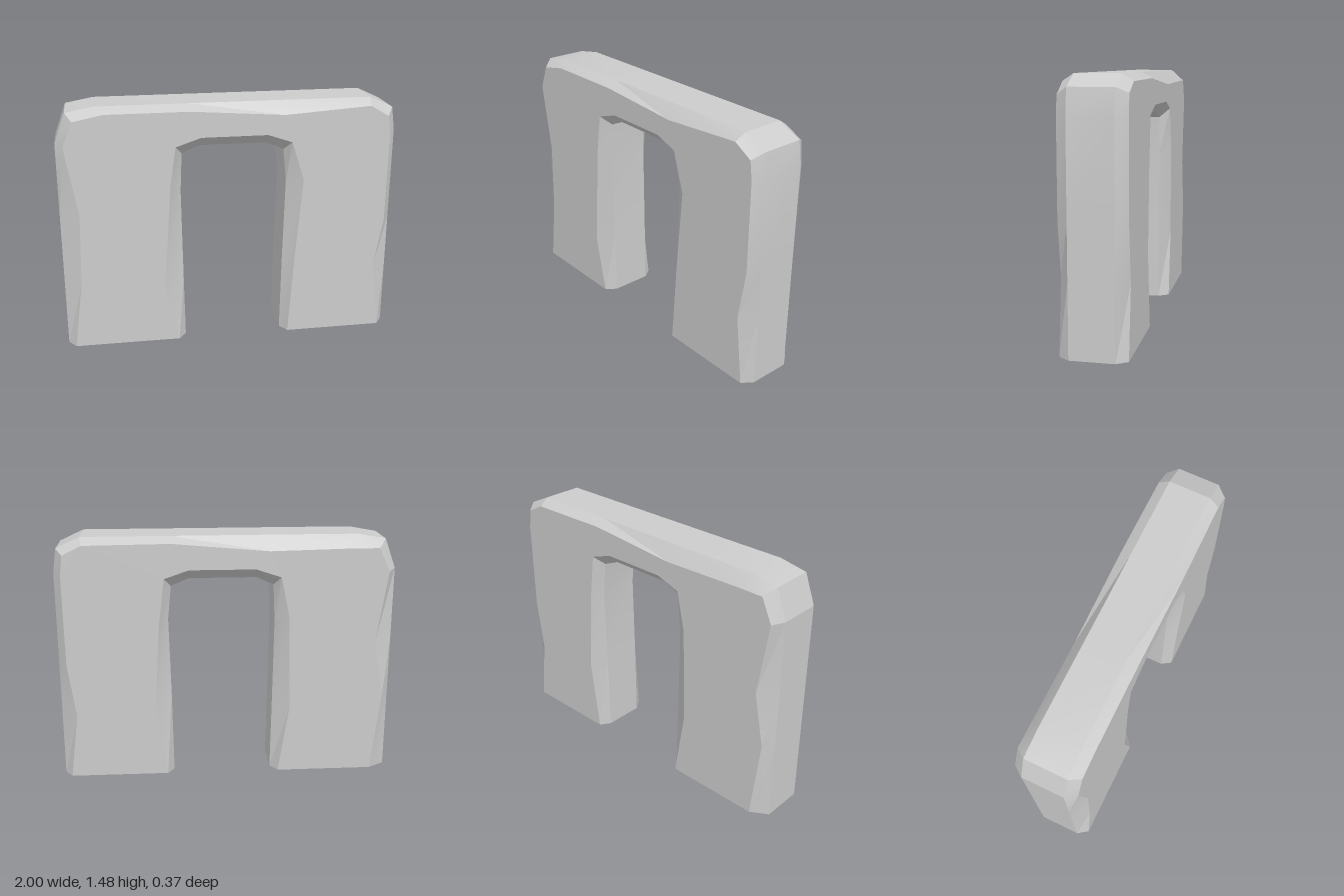
import * as THREE from 'three';
import { toCreasedNormals } from 'three/addons/utils/BufferGeometryUtils.js';

const FACE_Z = 0.187, RIM_Z = 0.125;

// Each row: rim x, y | front face x, y | back face x, y
const outer = [
  [-1, 0, -0.955, 0, -0.9, 0],
  [-1, 0.42, -0.9, 0.41, -0.955, 0.5],
  [-1, 0.85, -0.885, 0.85, -0.89, 0.82],
  [-1, 1.27, -0.955, 1.26, -0.955, 1.26],
  [-0.935, 1.445, -0.895, 1.405, -0.89, 1.4],
  [-0.77, 1.475, -0.72, 1.44, -0.72, 1.4],
  [-0.23, 1.475, -0.23, 1.44, -0.25, 1.39],
  [0.32, 1.475, 0.32, 1.4, 0.32, 1.44],
  [0.84, 1.475, 0.83, 1.435, 0.83, 1.435],
  [0.98, 1.41, 0.94, 1.37, 0.94, 1.38],
  [1, 1.27, 0.955, 1.26, 0.955, 1.26],
  [1, 0.72, 0.955, 0.72, 0.95, 0.72],
  [1, 0.42, 0.905, 0.42, 0.905, 0.4],
  [1, 0, 0.955, 0, 0.955, 0],
];
const opening = [
  [0.325, 0, 0.365, 0, 0.365, 0],
  [0.333, 0.5, 0.4, 0.52, 0.43, 0.45],
  [0.345, 0.98, 0.44, 1, 0.4, 0.95],
  [0.325, 1.18, 0.365, 1.235, 0.365, 1.235],
  [0.22, 1.225, 0.22, 1.285, 0.22, 1.285],
  [-0.18, 1.225, -0.17, 1.285, -0.17, 1.285],
  [-0.28, 1.18, -0.32, 1.235, -0.32, 1.235],
  [-0.29, 0.95, -0.355, 1, -0.37, 1],
  [-0.282, 0.4, -0.4, 0.36, -0.385, 0.42],
  [-0.275, 0, -0.32, 0, -0.32, 0],
];

function buildArch() {
  const rows = [...outer, ...opening], n = rows.length;
  // Four matching outlines from front to back
  const ring = (col, z) => rows.map((r) => new THREE.Vector3(r[col], r[col + 1], z));
  const rings = [ring(2, FACE_Z), ring(0, RIM_Z), ring(0, -RIM_Z), ring(4, -FACE_Z)];
  const positions = [];
  const tri = (...pts) => pts.forEach((p) => positions.push(p.x, p.y, p.z));

  // Bevels, edge bands and undersides of the legs
  for (let k = 0; k < 3; k++) {
    for (let i = 0; i < n; i++) {
      const j = (i + 1) % n, a = rings[k], b = rings[k + 1];
      tri(a[i], a[j], b[i]);
      tri(a[j], b[j], b[i]);
    }
  }

  // Flat front and back faces, wound to face outwards
  for (const [pts, dir] of [[rings[0], 1], [rings[3], -1]]) {
    const flat = pts.map((p) => new THREE.Vector2(p.x, p.y));
    for (const [a, b, c] of THREE.ShapeUtils.triangulateShape(flat, [])) {
      const area = THREE.ShapeUtils.area([flat[a], flat[b], flat[c]]);
      if (area * dir > 0) tri(pts[a], pts[b], pts[c]);
      else tri(pts[a], pts[c], pts[b]);
    }
  }

  const geometry = new THREE.BufferGeometry();
  geometry.setAttribute('position', new THREE.Float32BufferAttribute(positions, 3));
  return toCreasedNormals(geometry, 0.35);
}

export function createModel() {
  const group = new THREE.Group();
  group.name = 'stoneDoorway';
  const arch = new THREE.Mesh(buildArch(), new THREE.MeshStandardMaterial({ color: 0xcccccc }));
  arch.name = 'doorwayArch';
  group.add(arch);
  return group;
}
